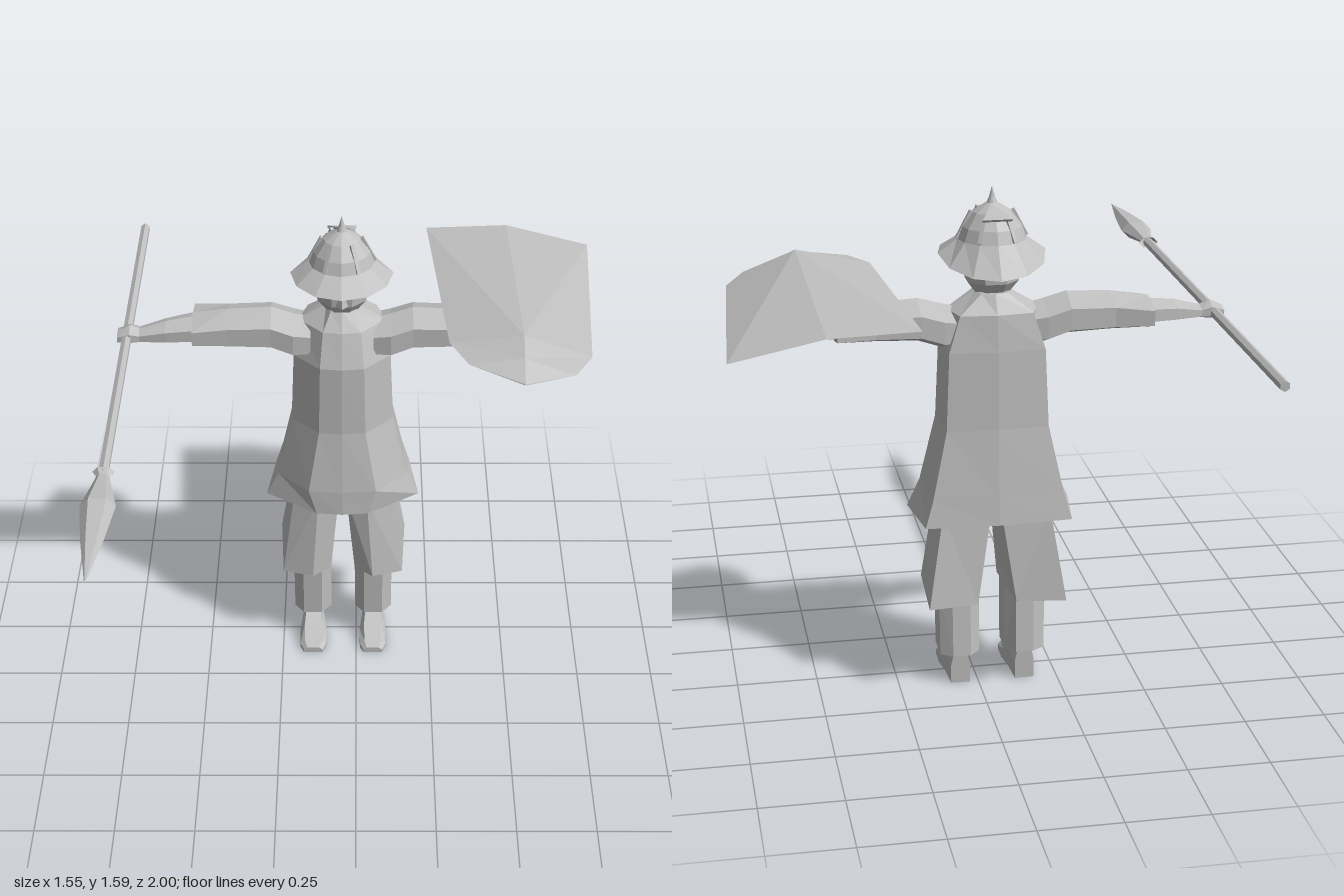
import * as THREE from 'three';

const gray = new THREE.MeshStandardMaterial({ color: 0xbfbfbf, flatShading: true, side: THREE.DoubleSide });
gray.name = 'plain gray';

function mesh(name, geometry, parent) {
  const m = new THREE.Mesh(geometry, gray);
  m.name = name;
  parent.add(m);
  return m;
}

// Skin through closed rings of [x, y, z] points, optionally capped at each end
function loft(rings, capStart = true, capEnd = true) {
  const n = rings[0].length, pos = rings.flat(2), idx = [];
  for (let r = 0; r < rings.length - 1; r++) {
    for (let i = 0; i < n; i++) {
      const a = r * n + i, b = r * n + (i + 1) % n;
      idx.push(a, b, a + n, b, b + n, a + n);
    }
  }
  const last = (rings.length - 1) * n;
  for (let i = 1; i < n - 1; i++) {
    if (capStart) idx.push(0, i + 1, i);
    if (capEnd) idx.push(last, last + i, last + i + 1);
  }
  const g = new THREE.BufferGeometry();
  g.setAttribute('position', new THREE.Float32BufferAttribute(pos, 3));
  g.setIndex(idx);
  const flat = g.toNonIndexed();
  flat.computeVertexNormals();
  return flat;
}

// Mirror a geometry across x and restore its winding
function mirrored(geometry) {
  const g = geometry.clone().scale(-1, 1, 1);
  const p = g.attributes.position;
  for (let i = 0; i < p.count; i += 3) {
    const b = [p.getX(i + 1), p.getY(i + 1), p.getZ(i + 1)];
    p.setXYZ(i + 1, p.getX(i + 2), p.getY(i + 2), p.getZ(i + 2));
    p.setXYZ(i + 2, ...b);
  }
  g.computeVertexNormals();
  return g;
}

function pair(name, geometry, parent) {
  mesh('left' + name, geometry, parent);
  mesh('right' + name, mirrored(geometry), parent);
}

// Coat: each row is height, front x/z, side x/z, back x/z
function coat() {
  const rows = [
    [0.575, 0.085, 0.165, 0.252, 0.05, 0.225, -0.148],
    [0.66, 0.11, 0.16, 0.212, 0.055, 0.2, -0.138],
    [0.87, 0.075, 0.13, 0.165, 0.04, 0.155, -0.115],
    [1.11, 0.07, 0.125, 0.155, 0.04, 0.145, -0.103],
    [1.22, 0.06, 0.085, 0.14, 0, 0.11, -0.09],
    [1.275, 0.035, 0.045, 0.05, 0, 0.04, -0.055],
  ];
  return loft(rows.map(([y, fx, fz, sx, sz, bx, bz]) => [
    [0, y, fz + 0.008], [fx, y, fz], [sx, y, sz], [bx, y, bz],
    [0, y, bz - 0.012], [-bx, y, bz], [-sx, y, sz], [-fx, y, fz],
  ].reverse()).map((r) => r.reverse()));
}

// Sleeve and hand rings: x, centre y, centre z, half height, half depth
function limb(rows) {
  return loft(rows.map(([x, y, z, ry, rz]) => Array.from({ length: 6 }, (_, i) => {
    const a = i * Math.PI / 3 + Math.PI / 6;
    return [x, y + ry * Math.sin(a), z - rz * Math.cos(a) / 0.866];
  }).reverse()));
}

function createModel() {
  const model = new THREE.Group();
  model.name = 'spearman';
  const body = new THREE.Group();
  body.name = 'body';
  body.position.set(-0.045, 0, -0.3);
  model.add(body);

  mesh('coat', coat(), body);

  // Open skirt flaps around each thigh
  const flap = (y, s) => s.map(([x, z]) => [x, y, z]);
  pair('SkirtFlap', loft([
    flap(0.302, [[0.04, 0.1], [0.1, 0.15], [0.2, 0.12], [0.213, -0.143], [0.06, -0.125]]),
    flap(0.6, [[0.012, 0.1], [0.08, 0.125], [0.16, 0.09], [0.165, -0.105], [0.015, -0.1]]),
  ], false, false), body);

  // Trouser legs
  const leg = (y, cx, cz, rx, rz) => [[-1, 0.5], [-0.5, 1], [0.5, 1], [1, 0.5], [1, -0.7], [0.4, -1], [-0.5, -1], [-1, -0.6]]
    .map(([x, z]) => [cx + x * rx, y, cz + z * rz]);
  pair('Trouser', loft([
    leg(0.1, 0.103, 0.012, 0.062, 0.08),
    leg(0.31, 0.103, 0.022, 0.063, 0.075),
    leg(0.6, 0.09, 0, 0.045, 0.055),
  ]), body);

  // Shoes, from heel to toe: z, half width, top height
  pair('Shoe', loft([
    [-0.05, 0.03, 0.11], [0.03, 0.034, 0.11], [0.1, 0.045, 0.06], [0.16, 0.044, 0.03], [0.187, 0.032, 0.02],
  ].map(([z, w, h]) => [
    [0.102 - w, 0, z], [0.102 + w, 0, z], [0.102 + w, h * 0.55, z],
    [0.102 + w * 0.65, h, z], [0.102 - w * 0.65, h, z], [0.102 - w, h * 0.55, z],
  ])), body);

  // Outstretched arms
  pair('Sleeve', limb([
    [0.1, 1.165, -0.005, 0.06, 0.08],
    [0.155, 1.17, -0.005, 0.068, 0.088],
    [0.225, 1.193, -0.01, 0.066, 0.085],
    [0.36, 1.192, -0.01, 0.06, 0.082],
    [0.475, 1.188, -0.018, 0.046, 0.092],
  ]), body);
  pair('Forearm', limb([
    [0.46, 1.185, -0.012, 0.04, 0.062],
    [0.56, 1.178, 0, 0.034, 0.048],
    [0.645, 1.168, 0.008, 0.02, 0.032],
    [0.675, 1.172, 0.01, 0.03, 0.036],
    [0.715, 1.165, 0.01, 0.018, 0.03],
  ]), body);

  // Head and nose
  const face = [[0, 1.25], [0.05, 1.262], [0.083, 1.305], [0.092, 1.38], [0.09, 1.42]]
    .map(([x, y]) => new THREE.Vector2(x, y));
  mesh('head', new THREE.LatheGeometry(face, 8, Math.PI / 8).scale(1, 1, 0.93), body);
  const nose = mesh('nose', new THREE.ConeGeometry(0.02, 0.06, 4), body);
  nose.position.set(0, 1.345, 0.085);

  // Brimmed helmet with a dropped back edge and a spike
  const shell = [[0.162, 1.39], [0.104, 1.432], [0.09, 1.47], [0.058, 1.512], [0.016, 1.538], [0.009, 1.555], [0, 1.588]]
    .map(([x, y]) => new THREE.Vector2(x, y));
  const helmet = new THREE.LatheGeometry(shell, 12);
  const p = helmet.attributes.position;
  for (let i = 0; i < p.count; i++) {
    if (p.getY(i) < 1.4) {
      const z = p.getZ(i);
      p.setY(i, 1.39 + Math.min(0, z) * 0.3);
      p.setZ(i, z > 0 ? z * 1.1 : z);
    }
  }
  helmet.computeVertexNormals();
  mesh('helmet', helmet, body);

  // Raised ribs over the dome
  for (let i = 0; i < 6; i++) {
    const pivot = new THREE.Group();
    pivot.name = 'helmetRib';
    pivot.rotation.y = i * Math.PI / 3 + Math.PI / 6;
    body.add(pivot);
    const rib = mesh('rib', new THREE.BoxGeometry(0.012, 0.09, 0.01), pivot);
    rib.position.set(0, 1.475, 0.083);
    rib.rotation.x = -0.48;
  }

  // Small pointed crest at the back of the crown
  mesh('crest', loft([
    [[-0.045, 1.5, -0.085], [0, 1.51, -0.03], [0.045, 1.5, -0.085]],
    [[-0.045, 1.507, -0.09], [0, 1.535, -0.02], [0.045, 1.507, -0.09]],
  ]), body);

  // Spear lying along z in the right hand
  const spear = new THREE.Group();
  spear.name = 'spear';
  spear.position.set(-0.73, 1.168, 0);
  model.add(spear);
  const shaft = mesh('spearShaft', new THREE.CylinderGeometry(0.016, 0.016, 1.48, 6).rotateX(Math.PI / 2), spear);
  shaft.position.z = -0.26;
  const blade = [[0.03, 0.472], [0.018, 0.495], [0.022, 0.52], [0.047, 0.64], [0.03, 0.8], [0, 1]]
    .map(([x, y]) => new THREE.Vector2(x, y));
  mesh('spearHead', new THREE.LatheGeometry(blade, 6, Math.PI / 6).rotateX(Math.PI / 2).scale(1.1, 0.65, 1), spear);

  // Ridged shield: each row is z, left x, ridge x, right x, ridge height
  const rim = (x) => 1.268 - 0.118 * (x - 0.51);
  const rows = [
    [-0.755, 0.233, 0.5, 0.772, 1.3, -0.02], [-0.035, 0.285, 0.51, 0.725, 1.338, 0.03],
    [0.08, 0.34, 0.508, 0.665, 1.31, 0], [0.165, 0.503, 0.506, 0.509, 1.272, 0],
  ];
  const verts = rows.flatMap(([z, l, c, r, h, dz]) => [l, rim(l), z, c, h, z + dz, r, rim(r), z]);
  const faces = [];
  for (let i = 0; i < 3; i++) {
    for (let j = 0; j < 2; j++) {
      const a = i * 3 + j, d = a + 3;
      faces.push(...(j ? [a, d, a + 1, a + 1, d, d + 1] : [a, d + 1, a + 1, a, d, d + 1]));
    }
  }
  const plate = new THREE.BufferGeometry();
  plate.setAttribute('position', new THREE.Float32BufferAttribute(verts, 3));
  plate.setIndex(faces);
  plate.computeVertexNormals();
  mesh('shield', plate, model);

  return model;
}

export { createModel };
